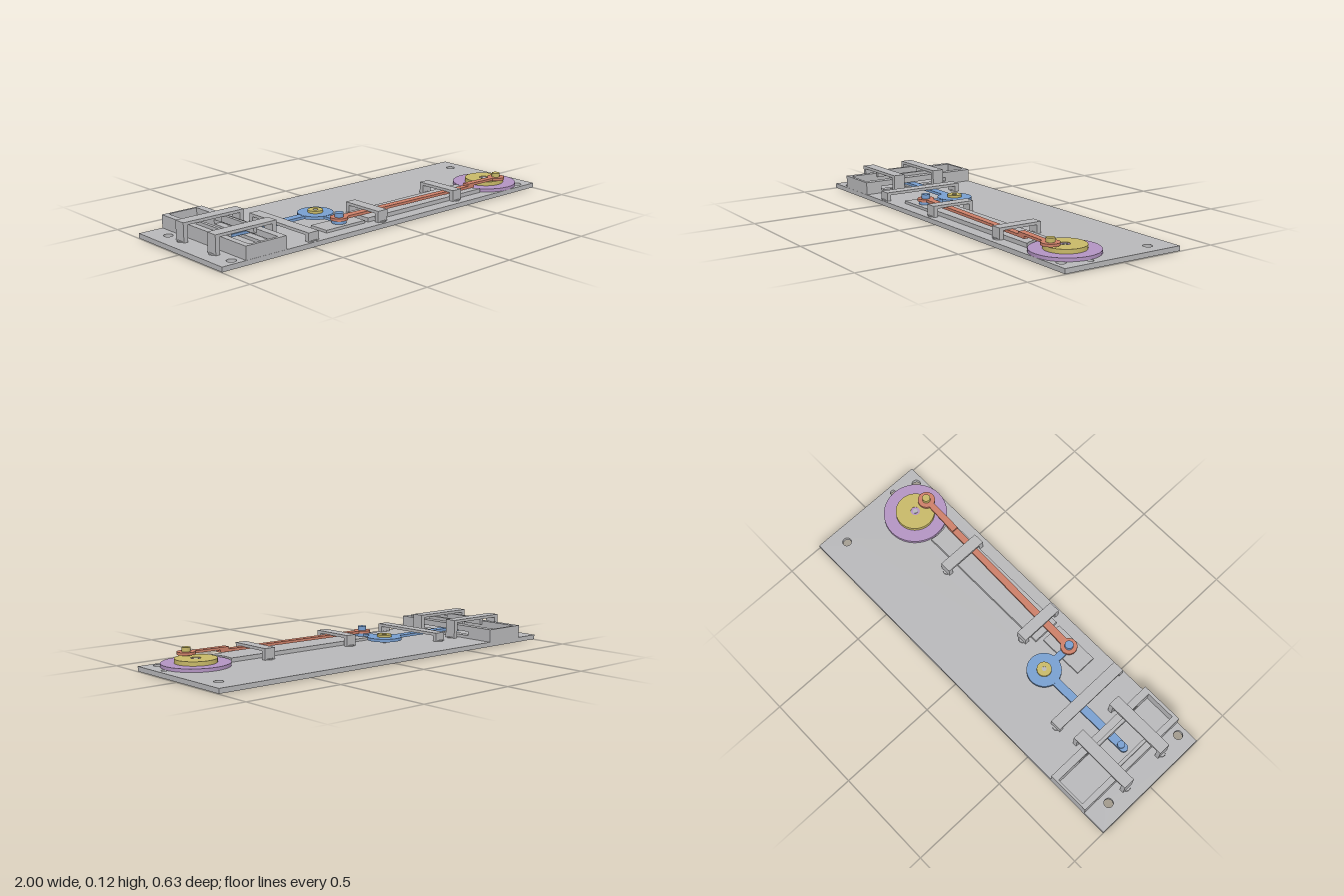
import * as THREE from 'three';

const material = (name, color) => {
  const m = new THREE.MeshStandardMaterial({ color });
  m.name = name;
  return m;
};

export function createModel() {
  const root = new THREE.Group();
  const grey = material('grey', 0xb8b8ba);
  const blue = material('blue', 0x789fd0);
  const red = material('red', 0xcd7f68);
  const yellow = material('yellow', 0xc8b968);
  const purple = material('purple', 0xb394c2);

  const add = (name, geometry, mat, parent = root) => {
    const mesh = new THREE.Mesh(geometry, mat);
    mesh.name = name;
    parent.add(mesh);
    return mesh;
  };
  const group = (name) => {
    const g = new THREE.Group();
    g.name = name;
    root.add(g);
    return g;
  };
  // Box given by its limits on each axis
  const box = (name, x0, x1, y0, y1, z0, z1, mat = grey, parent = root) =>
    add(name, new THREE.BoxGeometry(x1 - x0, y1 - y0, z1 - z0)
      .translate((x0 + x1) / 2, (y0 + y1) / 2, (z0 + z1) / 2), mat, parent);
  // Upright disc or pin
  const disc = (name, x, z, r, y0, y1, mat, parent = root) =>
    add(name, new THREE.CylinderGeometry(r, r, y1 - y0, 40)
      .translate(x, (y0 + y1) / 2, z), mat, parent);
  // Shape drawn in (x, -z), extruded upward
  const slab = (name, shape, y0, y1, mat, parent = root) =>
    add(name, new THREE.ExtrudeGeometry(shape, { depth: y1 - y0, bevelEnabled: false, curveSegments: 20 })
      .rotateX(-Math.PI / 2).translate(0, y0, 0), mat, parent);
  const outline = (points) => new THREE.Shape(points.map(([x, z]) => new THREE.Vector2(x, -z)));
  const punch = (shape, x, z, r) => {
    shape.holes.push(new THREE.Path().absarc(x, -z, r, 0, Math.PI * 2, true));
    return shape;
  };
  const ring = (x, z, r, hole) =>
    punch(new THREE.Shape().absarc(x, -z, r, 0, Math.PI * 2, false), x, z, hole);

  const wheelX = 0.795, wheelZ = 0.153;

  // Bridges: [name, x0, x1, z0, z1, top, axis they span along]
  const bridges = [
    ['leverGuide', -0.522, -0.463, -0.125, 0.3, 0.068, 'z'],
    ['innerRodGuide', -0.093, -0.035, 0.067, 0.29, 0.08, 'z'],
    ['outerRodGuide', 0.428, 0.485, 0.047, 0.275, 0.08, 'z'],
    ['rearStrap', -0.933, -0.603, -0.118, -0.058, 0.118, 'x'],
    ['frontStrap', -0.933, -0.603, 0.118, 0.178, 0.118, 'x'],
  ];
  const pegsOf = ([, x0, x1, z0, z1, , axis]) => axis === 'z'
    ? [[(x0 + x1) / 2, z0 + 0.008], [(x0 + x1) / 2, z1 - 0.008]]
    : [[x0 + 0.008, (z0 + z1) / 2], [x1 - 0.008, (z0 + z1) / 2]];

  // Base plate with screw holes, peg holes and the wheel seat
  const plate = outline([[-1, 0.313], [1, 0.313], [1, -0.315], [-1, -0.315]]);
  for (const x of [-0.92, 0.92]) for (const z of [-0.2, 0.27]) punch(plate, x, z, 0.022);
  punch(plate, 0.965, 0.152, 0.014);
  punch(plate, 0.627, 0.152, 0.014);
  punch(plate, wheelX, wheelZ, 0.15);
  for (const b of bridges) for (const [x, z] of pegsOf(b)) punch(plate, x, z, 0.02);
  slab('basePlate', plate, 0.002, 0.025, grey);

  // Bridges with two legs and pegs
  for (const b of bridges) {
    const [name, x0, x1, z0, z1, top, axis] = b;
    const g = group(name);
    const under = top - 0.014, t = 0.022;
    box('bar', x0, x1, under, top, z0, z1, grey, g);
    if (axis === 'z') {
      box('leg', x0, x1, 0.025, under, z0, z0 + t, grey, g);
      box('leg', x0, x1, 0.025, under, z1 - t, z1, grey, g);
    } else {
      box('leg', x0, x0 + t, 0.025, under, z0, z1, grey, g);
      box('leg', x1 - t, x1, 0.025, under, z0, z1, grey, g);
    }
    for (const [x, z] of pegsOf(b)) disc('peg', x, z, 0.019, 0.005, 0.03, grey, g);
  }

  // Sliding tray with a window for the lever
  const tray = group('slidingTray');
  box('outerWall', -0.875, -0.845, 0.025, 0.088, -0.315, 0.312, grey, tray);
  box('rearWall', -0.845, -0.692, 0.025, 0.088, -0.315, -0.303, grey, tray);
  box('frontWall', -0.845, -0.692, 0.025, 0.088, 0.296, 0.312, grey, tray);
  box('innerWallTop', -0.692, -0.655, 0.06, 0.088, -0.315, 0.312, grey, tray);
  box('innerWallBottom', -0.692, -0.655, 0.025, 0.04, -0.315, 0.312, grey, tray);
  box('innerWallRear', -0.692, -0.655, 0.04, 0.06, -0.315, -0.166, grey, tray);
  box('innerWallFront', -0.692, -0.655, 0.04, 0.06, 0.225, 0.312, grey, tray);
  // Raised rim between the straps
  for (const x of [-0.845, -0.708]) box('raisedRim', x, x + 0.016, 0.07, 0.104, -0.09, 0.15, grey, tray);

  // Rod rail, hollowed around the wheel, and the lever rest
  const rail = new THREE.Shape();
  rail.moveTo(-0.12, -0.25);
  rail.lineTo(-0.12, -0.11);
  rail.absarc(wheelX, -wheelZ, 0.17, 2.892, 3.75, false);
  rail.closePath();
  slab('rodRail', rail, 0.025, 0.045, grey);
  box('leverRest', -0.375, -0.14, 0.025, 0.038, 0.142, 0.25);

  // Bell crank lever
  const px = -0.255, pz = 0.033, ez = 0.2;
  const lever = group('bellCrank');
  disc('hub', px, pz, 0.085, 0.04, 0.055, blue, lever);
  box('longArm', -0.787, px - 0.07, 0.041, 0.054, pz - 0.021, pz + 0.021, blue, lever);
  disc('armTip', -0.787, pz, 0.021, 0.041, 0.054, blue, lever);
  disc('armPin', -0.77, pz, 0.018, 0.028, 0.064, blue, lever);
  box('shortArm', px - 0.018, px + 0.018, 0.041, 0.054, pz + 0.07, ez, blue, lever);
  disc('shortArmEnd', px, ez, 0.035, 0.04, 0.055, blue, lever);
  disc('rodPin', px, ez, 0.021, 0.055, 0.089, blue, lever);
  slab('pivotCap', ring(px, pz, 0.036, 0.012), 0.055, 0.067, yellow);
  disc('pivotPin', px, pz, 0.012, 0.025, 0.064, grey);

  // Connecting rod with stepped end
  const rz = 0.231;
  const rod = group('connectingRod');
  slab('leftEye', ring(px, ez, 0.041, 0.021), 0.055, 0.068, red, rod);
  slab('lowerBar', outline([
    [-0.218, 0.219], [-0.05, 0.223], [0.62, 0.24], [0.62, 0.208], [-0.05, 0.187], [-0.218, 0.181],
  ]), 0.055, 0.068, red, rod);
  slab('upperBar', outline([[0.575, 0.24], [0.76, 0.246], [0.76, 0.215], [0.575, 0.205]]), 0.068, 0.08, red, rod);
  slab('rightEye', ring(wheelX, rz, 0.043, 0.02), 0.067, 0.08, red, rod);

  // Drive wheel with raised hub and crank pin
  const wheel = group('driveWheel');
  disc('wheelSeat', wheelX, wheelZ, 0.149, 0, 0.025, purple, wheel);
  disc('wheelRim', wheelX, wheelZ, 0.16, 0.025, 0.041, purple, wheel);
  slab('wheelHub', ring(wheelX, wheelZ, 0.098, 0.023), 0.041, 0.061, yellow, wheel);
  disc('wheelAxle', wheelX, wheelZ, 0.023, 0.041, 0.058, purple, wheel);
  disc('axleCentre', wheelX, wheelZ, 0.012, 0.058, 0.06, grey, wheel);
  disc('crankPin', wheelX, rz, 0.02, 0.061, 0.1, yellow, wheel);

  return root;
}
